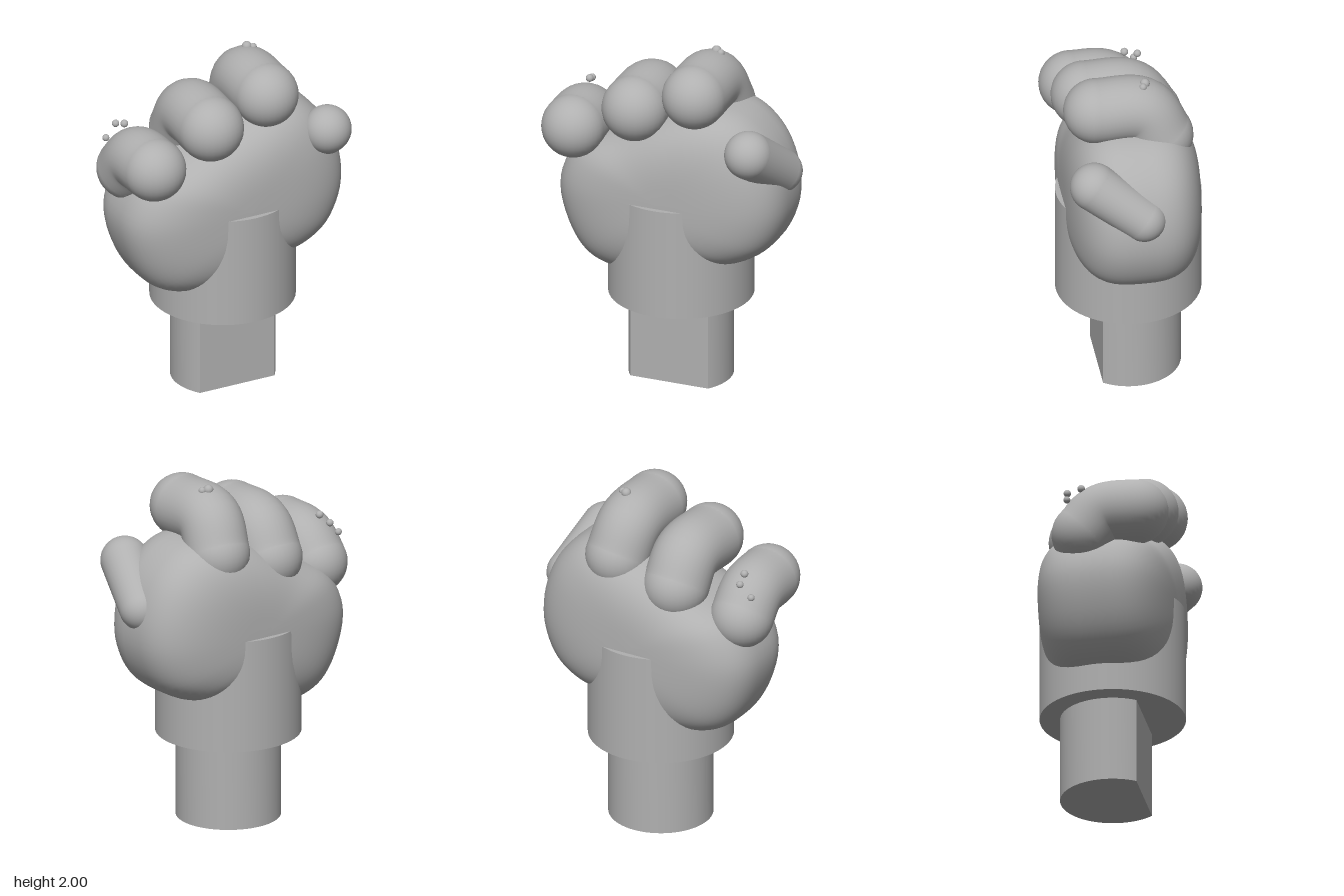
import * as THREE from 'three';
import { toCreasedNormals } from 'three/addons/utils/BufferGeometryUtils.js';

const V = (p) => new THREE.Vector3(...p);

export function createModel() {
  const model = new THREE.Group();
  model.name = 'fistOnPeg';
  const grey = new THREE.MeshStandardMaterial({ color: 0xb0b0b0 });
  grey.name = 'grey';

  const add = (parent, name, geometry, position = [0, 0, 0]) => {
    const mesh = new THREE.Mesh(geometry, grey);
    mesh.name = name;
    mesh.position.set(...position);
    parent.add(mesh);
    return mesh;
  };

  // The hand is turned about the vertical axis of its peg
  const hand = new THREE.Group();
  hand.name = 'hand';
  hand.position.set(-0.03, 0, -0.063);
  hand.rotation.y = THREE.MathUtils.degToRad(33.4);
  model.add(hand);

  // Peg: round bar with one flat side facing the finger tips
  const pegR = 0.295, flat = Math.asin(0.179 / pegR);
  const pegShape = new THREE.Shape();
  pegShape.absarc(0, 0, pegR, -flat, Math.PI + flat, false);
  pegShape.closePath();
  const peg = new THREE.ExtrudeGeometry(pegShape, { depth: 0.5, bevelEnabled: false, curveSegments: 56 });
  peg.rotateX(-Math.PI / 2);
  add(hand, 'peg', toCreasedNormals(peg, 0.5));

  // Wrist collar, partly buried in the palm
  add(hand, 'wristCollar', new THREE.CylinderGeometry(0.41, 0.41, 0.65, 64), [0, 0.825, 0]);

  // Palm: one outline, shrunk towards both faces along a rounded profile
  add(hand, 'palm', palmGeometry());

  // Three curled fingers, each bending down at the knuckle
  const fingers = [
    ['outerFinger', 0.18, [[-0.555, 1.51, 0.24], [-0.56, 1.495, 0.05], [-0.562, 1.39, -0.06]]],
    ['middleFinger', 0.188, [[-0.19, 1.675, 0.22], [-0.185, 1.665, -0.03], [-0.18, 1.52, -0.14]]],
    ['innerFinger', 0.183, [[0.165, 1.8, 0.21], [0.168, 1.785, -0.05], [0.19, 1.62, -0.155]]],
  ];
  for (const [name, r, pts] of fingers) {
    const finger = new THREE.Group();
    finger.name = name;
    hand.add(finger);
    const path = new THREE.CatmullRomCurve3(pts.map(V));
    add(finger, name + 'Body', new THREE.TubeGeometry(path, 20, r, 32));
    add(finger, name + 'Tip', new THREE.SphereGeometry(r, 32, 20), pts[0]);
    add(finger, name + 'Knuckle', new THREE.SphereGeometry(r, 32, 20), pts[2]);
  }

  // Thumb: tapered, rounded stub on the side of the palm
  const tip = V([0.553, 1.528, -0.12]), root = V([0.475, 1.335, -0.39]);
  const thumb = new THREE.Group();
  thumb.name = 'thumb';
  model.add(thumb);
  const body = add(thumb, 'thumbBody',
    new THREE.CylinderGeometry(0.137, 0.125, tip.distanceTo(root), 32, 1, true),
    tip.clone().add(root).multiplyScalar(0.5).toArray());
  body.quaternion.setFromUnitVectors(V([0, 1, 0]), tip.clone().sub(root).normalize());
  add(thumb, 'thumbTip', new THREE.SphereGeometry(0.137, 32, 20), tip.toArray());
  add(thumb, 'thumbRoot', new THREE.SphereGeometry(0.125, 32, 20), root.toArray());

  // Small warts on the outer and inner fingers
  const warts = [
    [0.09, 1.972, -0.22, 0.028], [0.125, 1.968, -0.225, 0.021],
    [-0.61, 1.635, 0.145, 0.021], [-0.66, 1.565, 0.19, 0.02], [-0.555, 1.665, 0.2, 0.022],
  ];
  for (const [x, y, z, r] of warts) {
    add(model, 'wart', new THREE.SphereGeometry(r, 16, 10), [x, y, z]);
  }
  return model;
}

function palmGeometry() {
  const outline = new THREE.CatmullRomCurve3([
    [-0.68, 1.15], [-0.635, 0.9], [-0.52, 0.72], [-0.36, 0.648], [0, 0.66], [0.22, 0.75],
    [0.42, 0.79], [0.58, 0.9], [0.67, 1.1], [0.665, 1.32], [0.58, 1.53], [0.43, 1.67],
    [0.25, 1.71], [0, 1.65], [-0.3, 1.5], [-0.57, 1.37],
  ].map(([x, y]) => V([x, y, 0])), true);
  const sides = 80, rings = 36, halfDepth = 0.38, midY = 1.17;
  const points = outline.getPoints(sides).slice(0, sides);
  const position = [], index = [];
  for (let i = 0; i <= rings; i++) {
    const a = (i / rings - 0.5) * Math.PI;
    const s = i % rings ? Math.cos(a) ** (2 / 3) : 0;
    const z = halfDepth * Math.sign(Math.sin(a)) * Math.abs(Math.sin(a)) ** (2 / 3);
    for (const p of points) position.push(p.x * s, midY + (p.y - midY) * s, z);
  }
  for (let i = 0; i < rings; i++) {
    for (let j = 0; j < sides; j++) {
      const k = (j + 1) % sides;
      const a = i * sides + j, b = i * sides + k, c = b + sides, d = a + sides;
      if (i > 0) index.push(a, b, d);
      if (i < rings - 1) index.push(b, c, d);
    }
  }
  // Close the two faces at their centres
  for (let j = 0; j < sides; j++) {
    const k = (j + 1) % sides, last = (rings - 1) * sides;
    if (j === 0) continue;
    index[0] = index[0];
  }
  const g = new THREE.BufferGeometry();
  g.setAttribute('position', new THREE.Float32BufferAttribute(position, 3));
  g.setIndex(index);
  g.computeVertexNormals();
  return g;
}
